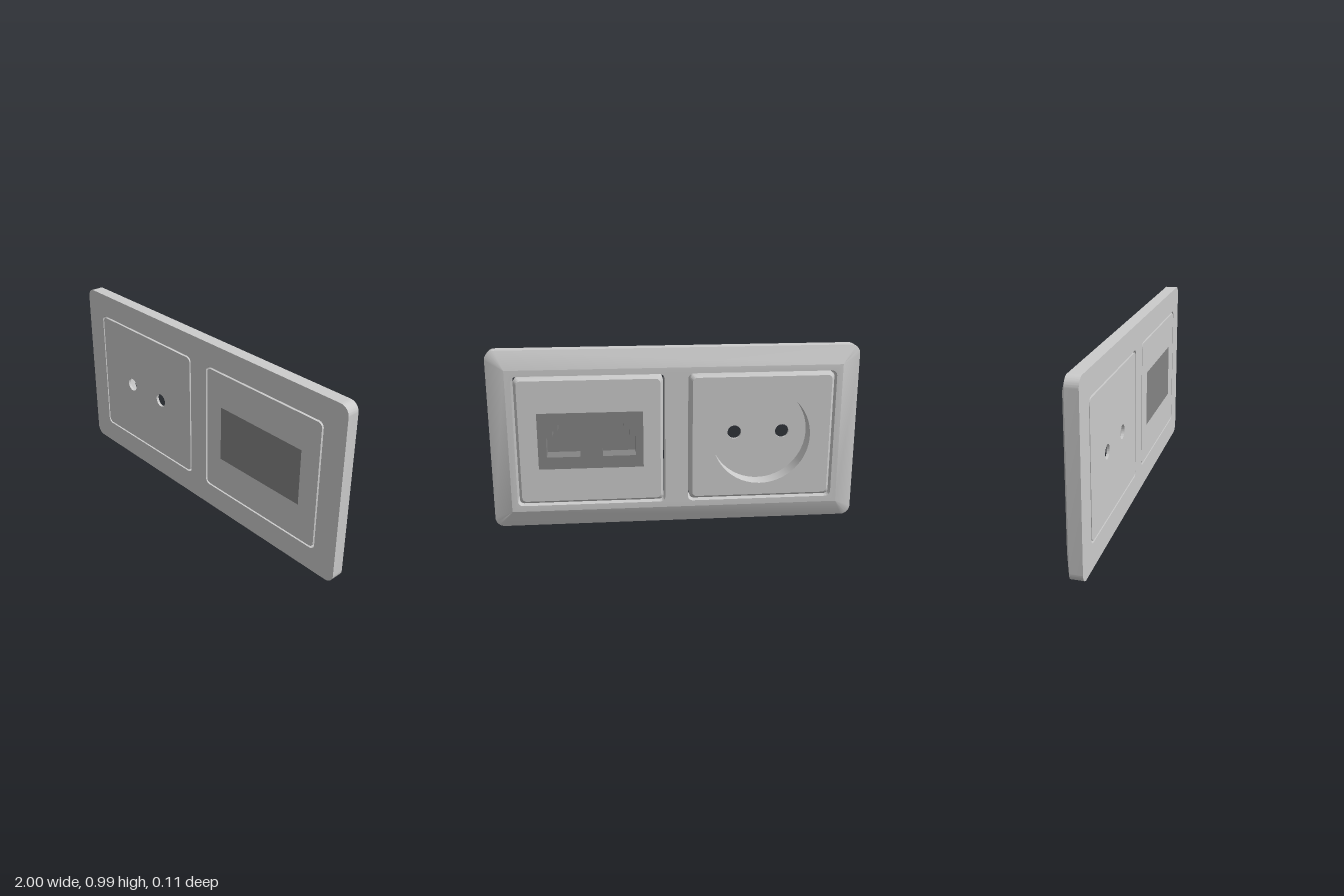
import * as THREE from 'three';
import { toCreasedNormals } from 'three/addons/utils/BufferGeometryUtils.js';

const CY = 0.4925, FRONT = 0.055, BACK = -0.055;
const grey = new THREE.MeshStandardMaterial({ color: 0xcccccc });
const dark = new THREE.MeshStandardMaterial({ color: 0x848484 });

// Rounded rectangle outline of half size hw x hh
function roundRect(cx, cy, hw, hh, r, Type = THREE.Shape) {
  const s = new Type();
  s.absarc(cx + hw - r, cy + hh - r, r, 0, Math.PI / 2);
  s.absarc(cx - hw + r, cy + hh - r, r, Math.PI / 2, Math.PI);
  s.absarc(cx - hw + r, cy - hh + r, r, Math.PI, Math.PI * 1.5);
  s.absarc(cx + hw - r, cy - hh + r, r, Math.PI * 1.5, Math.PI * 2);
  s.closePath();
  return s;
}

function circle(x, y, r) {
  return new THREE.Path().absarc(x, y, r, 0, Math.PI * 2);
}

function polygon(points, Type = THREE.Path) {
  return new Type(points.map(([x, y]) => new THREE.Vector2(x, y)));
}

// Extrudes a shape through the given z levels; shrink() may move the points of the first level
function slab(name, shape, levels, { material = grey, segments = 8, shrink } = {}) {
  const steps = levels.length - 1;
  const geo = new THREE.ExtrudeGeometry(shape, {
    depth: steps, steps, bevelEnabled: false, curveSegments: segments,
  });
  const pos = geo.attributes.position;
  const p = new THREE.Vector3();
  for (let i = 0; i < pos.count; i++) {
    p.fromBufferAttribute(pos, i);
    const level = Math.round(p.z);
    if (level === 0 && shrink) shrink(p);
    pos.setXYZ(i, p.x, p.y, levels[level]);
  }
  const mesh = new THREE.Mesh(toCreasedNormals(geo, 0.35), material);
  mesh.name = name;
  return mesh;
}

// Pulls the outer edge of an insert inwards for its small chamfer
function insertChamfer(cx) {
  return (p) => {
    const dx = p.x - cx, dy = p.y - CY;
    if (Math.abs(dx) < 0.345 && Math.abs(dy) < 0.305) return;
    p.x = cx + dx * (0.378 / 0.393);
    p.y = CY + dy * (0.336 / 0.351);
  };
}

export function createModel() {
  const model = new THREE.Group();
  model.name = 'wallPlate';
  const insertX = 0.465;
  const insertOutline = (cx) => roundRect(cx, CY, 0.393, 0.351, 0.025);

  // Surround frame with a wide sloping edge and two windows
  const frame = roundRect(0, CY, 1, CY, 0.05);
  for (const side of [-1, 1]) {
    frame.holes.push(roundRect(side * insertX, CY, 0.403, 0.361, 0.03, THREE.Path));
  }
  model.add(slab('frame', frame, [BACK, -0.012, FRONT], {
    shrink: (p) => {
      p.x = THREE.MathUtils.clamp(p.x, -0.9, 0.9);
      p.y = THREE.MathUtils.clamp(p.y, CY - 0.394, CY + 0.394);
    },
  }));

  // Power socket: round well with two pin holes in its floor
  const power = new THREE.Group();
  power.name = 'powerSocket';
  const well = insertOutline(-insertX);
  well.holes.push(circle(-insertX, CY, 0.27));
  power.add(slab('socketWell', well, [BACK, -0.037, 0.04], {
    segments: 32, shrink: insertChamfer(-insertX),
  }));
  const floor = insertOutline(-insertX);
  for (const side of [-1, 1]) floor.holes.push(circle(-insertX + side * 0.134, CY, 0.038));
  power.add(slab('socketFloor', floor, [0.04, FRONT], { segments: 32 }));
  model.add(power);

  // Data socket: plain insert around a dark block with two stepped jacks
  const data = new THREE.Group();
  data.name = 'dataSocket';
  const x0 = 0.18, x1 = 0.745, y0 = 0.34, y1 = 0.652;
  const block = [[x0, y0], [x1, y0], [x1, y1], [x0, y1]];
  const insert = insertOutline(insertX);
  insert.holes.push(polygon(block));
  data.add(slab('dataInsert', insert, [BACK, -0.037, FRONT], { shrink: insertChamfer(insertX) }));

  const jackBlock = polygon(block, THREE.Shape);
  const halfJack = [[0.09, 0.407], [0.09, 0.515], [0.055, 0.515], [0.055, 0.552], [0.025, 0.552], [0.025, 0.588]];
  for (const cx of [0.31, 0.61]) {
    const right = halfJack.map(([x, y]) => [cx + x, y]);
    const left = halfJack.map(([x, y]) => [cx - x, y]).reverse();
    jackBlock.holes.push(polygon([...right, ...left]));
  }
  data.add(slab('jackBlock', jackBlock, [BACK, 0.04], { material: dark }));
  data.add(slab('jackBacking', polygon(block, THREE.Shape), [0.04, FRONT], { material: dark }));
  model.add(data);

  return model;
}
